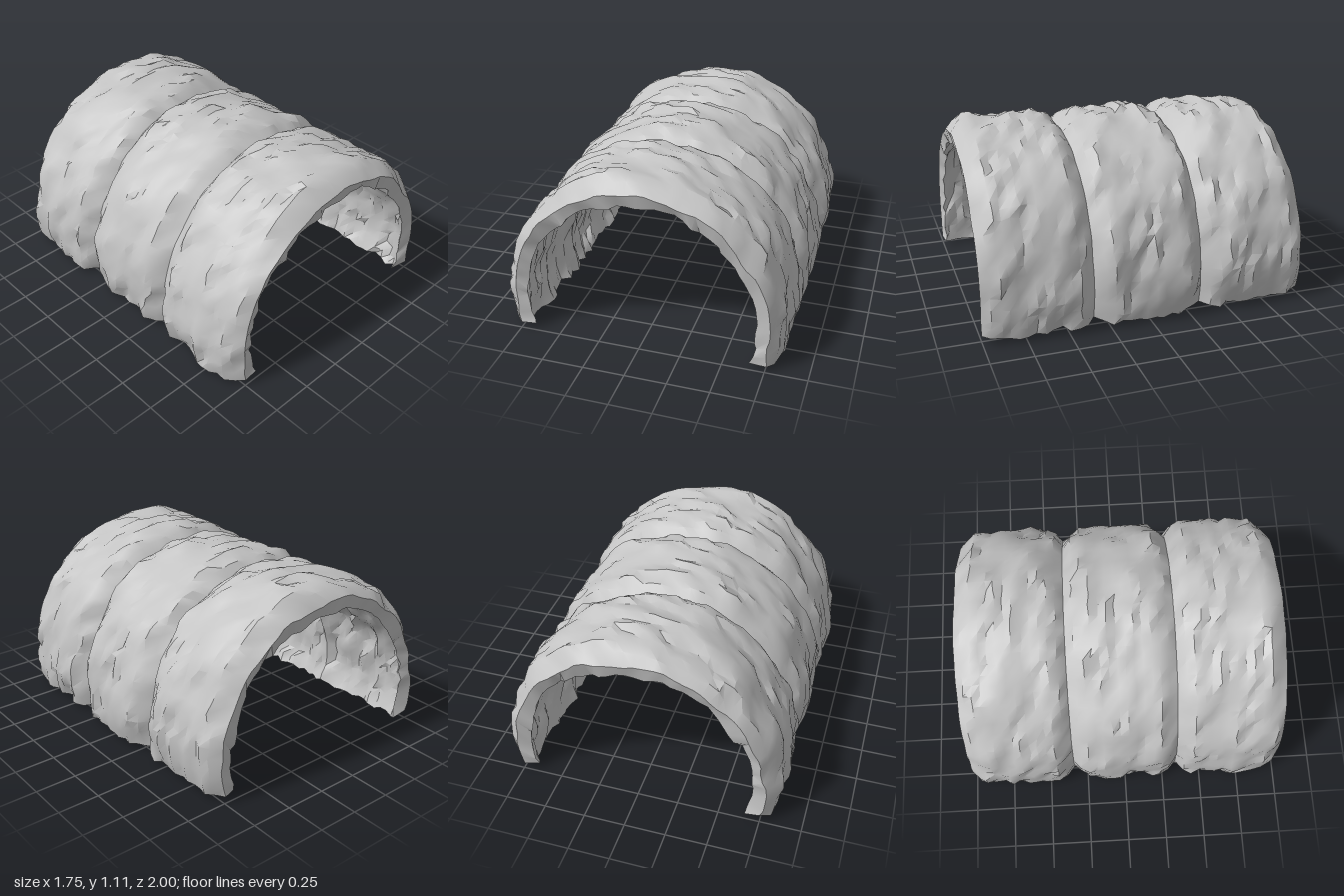
import * as THREE from 'three';
import { toCreasedNormals } from 'three/addons/utils/BufferGeometryUtils.js';

const SEGMENTS = 3, ROWS = 13, COLS = 48;
const LENGTH = 2 / SEGMENTS, CENTRE_Y = 0.25;

// repeatable value in -1..1 for a grid position
function hash(a, b, c) {
  const s = Math.sin(a * 127.1 + b * 311.7 + c * 74.7) * 43758.5453;
  return (s - Math.floor(s)) * 2 - 1;
}

// smooth noise between hashed lattice points
function noise(x, y, c) {
  const i = Math.floor(x), j = Math.floor(y);
  const u = x - i, v = y - j, s = u * u * (3 - 2 * u), t = v * v * (3 - 2 * v);
  const mix = THREE.MathUtils.lerp;
  return mix(mix(hash(i, j, c), hash(i + 1, j, c), s), mix(hash(i, j + 1, c), hash(i + 1, j + 1, c), s), t);
}

// point on the outer or inner rock surface; row counts along the whole tunnel
function rockPoint(row, col, inner) {
  const seed = inner ? 9 : 2;
  const local = row % ROWS;
  const joint = local === 0;
  const gap = Math.min(local, ROWS - local) * LENGTH / ROWS;
  const bulge = Math.pow(Math.min(1, gap / 0.11), 0.7);
  // stones two columns wide, staggered from row to row
  const stone = hash(row, Math.floor((col + row % 2) / 2), seed);
  const bumps = noise(row / 3, col / 3, seed + 3) * 0.02 + stone * (inner ? 0.02 : 0.016);
  const base = inner ? 0.69 + 0.04 * bulge : 0.768 + 0.08 * bulge;
  const radius = base + bumps * (joint ? 0.6 : 1);

  // both surfaces end at about the same foot height
  const start = inner ? -0.31 : -0.25;
  const shift = hash(row, col, seed + 1) * (inner ? 0.25 : 0.12);
  const angle = start + (Math.PI - 2 * start) * (col + shift) / COLS;

  // the inner rim is set back unevenly from the tunnel mouth
  const mouth = row === 0 ? 1 : row === ROWS * SEGMENTS ? -1 : 0;
  let z = -1 + row * LENGTH / ROWS;
  if (!joint) z += hash(row, col, seed + 2) * 0.008;
  if (inner) z += mouth * (0.024 + 0.016 * hash(row, col, 7));
  return [Math.cos(angle) * radius, Math.max(0, CENTRE_Y + Math.sin(angle) * radius), z];
}

// one bulging length of arch: closed cross-section loops joined in rows
function segmentGeometry(index) {
  const positions = [], indices = [];
  const loop = 2 * (COLS + 1);
  for (let r = 0; r <= ROWS; r++) {
    const row = index * ROWS + r;
    for (let c = 0; c <= COLS; c++) positions.push(...rockPoint(row, c, false));
    for (let c = COLS; c >= 0; c--) positions.push(...rockPoint(row, c, true));
  }
  for (let r = 0; r < ROWS; r++) {
    for (let c = 0; c < loop; c++) {
      const a = r * loop + c, b = r * loop + (c + 1) % loop;
      indices.push(a, b, a + loop, b, b + loop, a + loop);
    }
  }
  // open ends of the tunnel show the wall thickness
  for (let c = 0; c < COLS; c++) {
    const innerA = loop - 1 - c, innerB = loop - 2 - c, front = ROWS * loop;
    if (index === 0) indices.push(c, innerA, c + 1, c + 1, innerA, innerB);
    if (index === SEGMENTS - 1) {
      indices.push(front + c, front + c + 1, front + innerA);
      indices.push(front + c + 1, front + innerB, front + innerA);
    }
  }
  const geometry = new THREE.BufferGeometry();
  geometry.setAttribute('position', new THREE.Float32BufferAttribute(positions, 3));
  geometry.setIndex(indices);
  return toCreasedNormals(geometry, 0.6);
}

export function createModel() {
  const model = new THREE.Group();
  model.name = 'rockTunnel';
  const stone = new THREE.MeshStandardMaterial({ color: 0xc4c4c4 });
  stone.name = 'grey stone';
  ['backArch', 'middleArch', 'frontArch'].forEach((name, i) => {
    const arch = new THREE.Mesh(segmentGeometry(i), stone);
    arch.name = name;
    model.add(arch);
  });
  return model;
}
